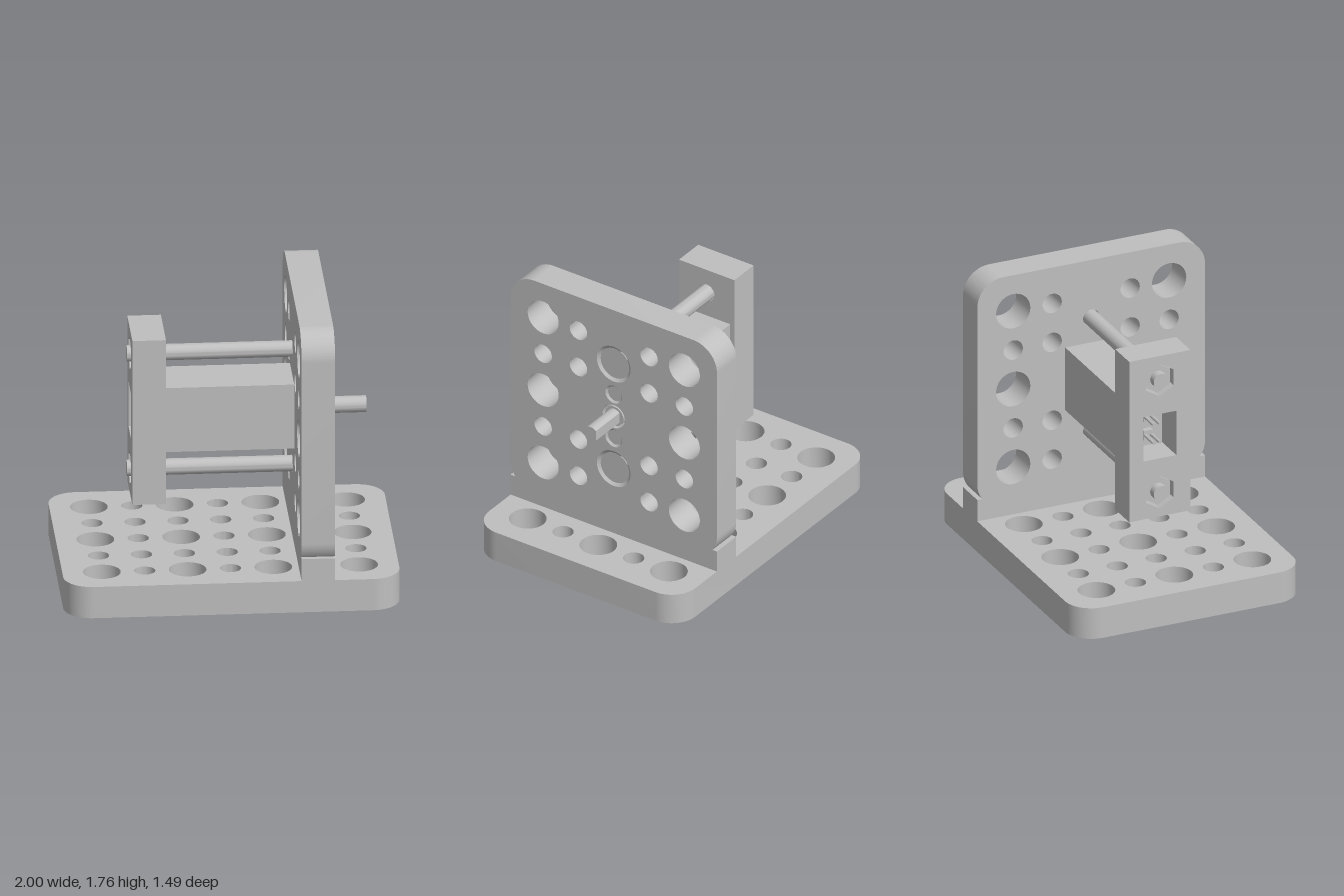
import * as THREE from 'three';
import { toCreasedNormals } from 'three/addons/utils/BufferGeometryUtils.js';

const BIG = 0.112, SMALL = 0.063, PITCH = 0.255;
const MID = 1.02;                 // height of the motor axis
const BACK = 0.405, FACE = 0.605; // upright plate, in x

export function createModel() {
  const model = new THREE.Group();
  const grey = new THREE.MeshStandardMaterial({ color: 0xbfbfbf });
  grey.name = 'grey';

  const add = (name, geometry, x = 0, y = 0, z = 0) => {
    const mesh = new THREE.Mesh(toCreasedNormals(geometry, 0.5), grey);
    mesh.name = name;
    mesh.position.set(x, y, z);
    model.add(mesh);
    return mesh;
  };
  const extrude = (shape, depth) =>
    new THREE.ExtrudeGeometry(shape, { depth, bevelEnabled: false, curveSegments: 20 });
  // shape drawn in (-z, y), swept along x
  const extrudeX = (shape, depth) => extrude(shape, depth).rotateY(Math.PI / 2);
  // profile of [radius, x] points turned about the x axis
  const latheX = (points, segments = 40) =>
    new THREE.LatheGeometry(points.map(p => new THREE.Vector2(...p)), segments).rotateZ(-Math.PI / 2);

  const hole = (shape, x, y, r) =>
    shape.holes.push(new THREE.Path().absarc(x, y, r, 0, Math.PI * 2, true));
  const hexHole = (shape, y, r) => {
    const path = new THREE.Path();
    path.setFromPoints([0, 1, 2, 3, 4, 5, 6].map(i => {
      const a = Math.PI / 2 - i * Math.PI / 3;
      return new THREE.Vector2(Math.cos(a) * r, y + Math.sin(a) * r);
    }));
    shape.holes.push(path);
  };
  const rect = (Type, w, y0, y1) => new Type().setFromPoints(
    [[-w, y0], [w, y0], [w, y1], [-w, y1], [-w, y0]].map(p => new THREE.Vector2(...p)));

  // Base plate with a grid of alternating large and small holes
  const base = new THREE.Shape();
  const W = 1, D = 0.745, R = 0.17;
  base.absarc(W - R, -D + R, R, -Math.PI / 2, 0);
  base.absarc(W - R, D - R, R, 0, Math.PI / 2);
  base.absarc(-W + R, D - R, R, Math.PI / 2, Math.PI);
  base.absarc(-W + R, -D + R, R, Math.PI, Math.PI * 1.5);
  for (let i = -3; i <= 3; i++) {
    for (let j = -2; j <= 2; j++) {
      hole(base, i * PITCH, j * PITCH, i % 2 !== 0 && j % 2 === 0 ? BIG : SMALL);
    }
  }
  add('basePlate', extrude(base, 0.2).rotateX(-Math.PI / 2));

  // Upright plate: rounded panel on a straight foot
  const plate = new THREE.Shape();
  const a = Math.asin(0.1 / R);
  plate.moveTo(-D, 0.2);
  plate.lineTo(D, 0.2);
  plate.lineTo(D, 0.34);
  plate.absarc(D - R, 0.44, R, -a, 0);
  plate.absarc(D - R, 1.765 - R, R, 0, Math.PI / 2);
  plate.absarc(-D + R, 1.765 - R, R, Math.PI / 2, Math.PI);
  plate.absarc(-D + R, 0.44, R, Math.PI, Math.PI + a);
  plate.lineTo(-D, 0.34);
  for (const s of [-1, 1]) {
    for (let j = -2; j <= 2; j++) {
      hole(plate, s * 2 * PITCH, MID + j * PITCH, j % 2 === 0 ? BIG : SMALL);
      if (j !== 0) hole(plate, s * PITCH, MID + j * PITCH, SMALL);
    }
    hole(plate, 0, MID + s * 0.367, 0.122);
    hole(plate, 0, MID + s * 0.153, 0.061);
  }
  hole(plate, 0, MID, 0.08);
  add('uprightPlate', extrudeX(plate, FACE - BACK), BACK);

  // Countersunk seats and their screws
  const screw = (name, y, seatR, headR, rodR, tip) => {
    const bore = rodR + 0.004, floor = FACE - (seatR - bore);
    add(name + 'Seat', latheX([[bore, BACK], [seatR, BACK], [seatR, FACE], [bore, floor], [bore, BACK]]), 0, y);
    const top = FACE - 0.012;
    add(name, latheX([[0, tip], [rodR, tip], [rodR, top - (headR - rodR)], [headR, top], [0, top]]), 0, y);
  };
  for (const s of [-1, 1]) {
    screw('longBolt', MID + s * 0.367, 0.122, 0.103, 0.049, -0.58);
    screw('motorScrew', MID + s * 0.153, 0.061, 0.052, 0.028, 0.36);
  }

  // Motor body, front collar and D-shaped shaft
  add('motorBody', new THREE.BoxGeometry(BACK + 0.36, 0.41, 0.34), (BACK - 0.36) / 2, MID, 0);
  add('motorCollar', latheX([[0, BACK], [0.066, BACK], [0.066, 0.6], [0, 0.6]]), 0, MID);
  const shaft = new THREE.Shape();
  const flat = Math.acos(0.037 / 0.05);
  shaft.absarc(0, 0, 0.05, flat, Math.PI * 2 - flat);
  shaft.closePath();
  add('motorShaft', extrudeX(shaft, 0.265), 0.58, MID);

  // Rear clamp block: outer layer has hexagonal nut pockets, inner layer bolt bores
  const layer = (name, x, depth, cut) => {
    const shape = rect(THREE.Shape, 0.2, 0.495, 1.545);
    shape.holes.push(rect(THREE.Path, 0.108, 0.875, 1.165));
    for (const s of [-1, 1]) cut(shape, MID + s * 0.367);
    add(name, extrudeX(shape, depth), x);
  };
  layer('clampBlockOuter', -0.56, 0.08, (shape, y) => hexHole(shape, y, 0.105));
  layer('clampBlockInner', -0.48, 0.12, (shape, y) => hole(shape, 0, y, 0.056));

  // Nuts in the pockets
  for (const s of [-1, 1]) {
    const nut = new THREE.CylinderGeometry(0.094, 0.094, 0.05, 6).rotateZ(Math.PI / 2).rotateX(Math.PI / 2);
    const mesh = add('nut', nut, -0.505, MID + s * 0.367, 0);
    // a corner points upward
    mesh.geometry.computeBoundingBox();
    if (mesh.geometry.boundingBox.max.y < 0.09) mesh.rotation.x = Math.PI / 6;
  }

  // Motor terminals inside the window
  for (const dy of [-0.06, 0.06]) {
    add('terminalBase', new THREE.BoxGeometry(0.04, 0.06, 0.06), -0.38, MID + dy, 0);
    for (const dz of [-0.02, 0.02]) {
      add('terminalPin', latheX([[0, -0.52], [0.01, -0.52], [0.01, -0.38], [0, -0.38]], 12), 0, MID + dy, dz);
    }
  }
  return model;
}
